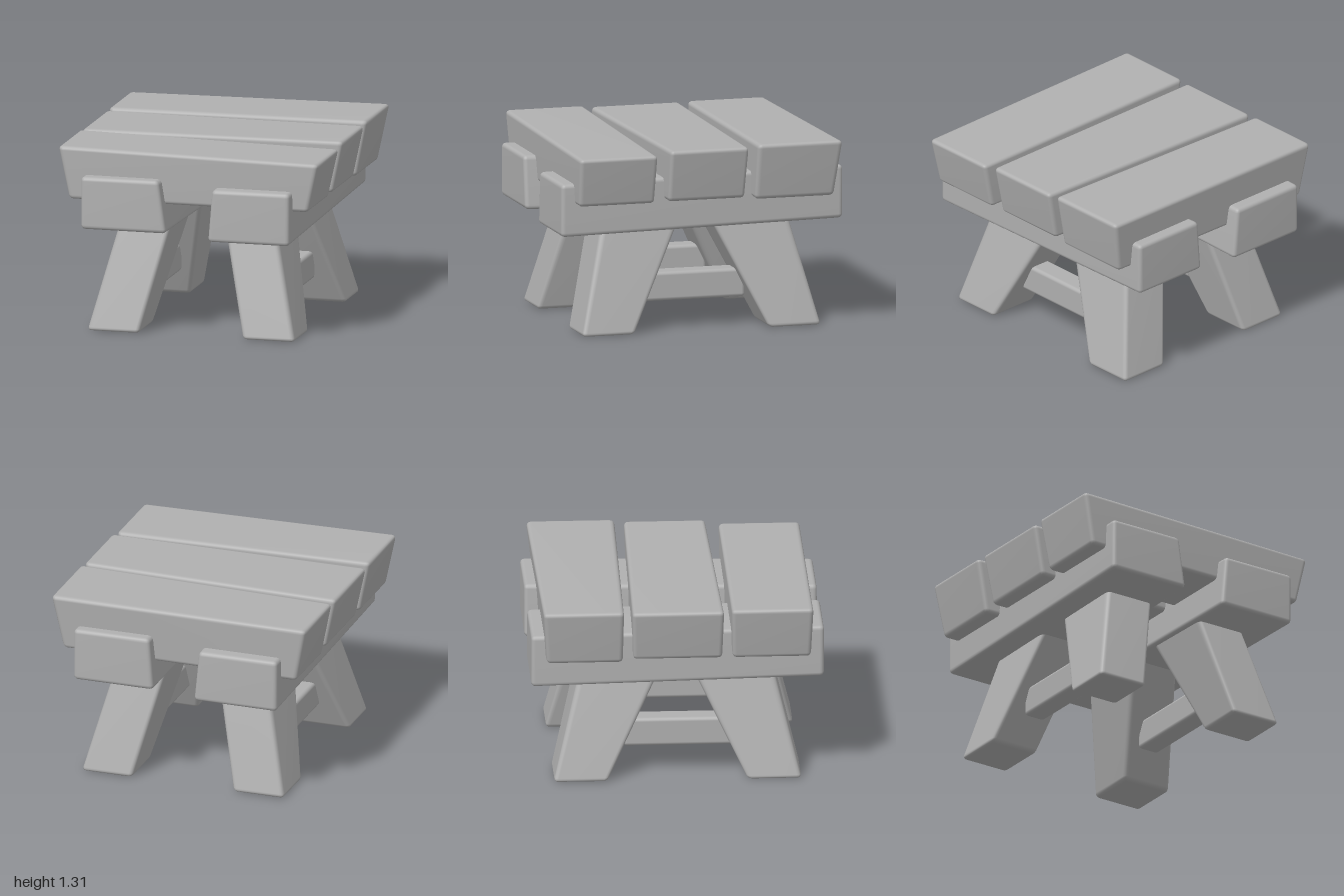
import * as THREE from 'three';
import { RoundedBoxGeometry } from 'three/addons/geometries/RoundedBoxGeometry.js';
import { mergeVertices } from 'three/addons/utils/BufferGeometryUtils.js';

const wood = new THREE.MeshStandardMaterial({ color: 0xb0b0b0 });
wood.name = 'grey wood';

// Soft-edged block stretched onto 8 corners, ordered by x, then y, then z (low before high)
function block(name, corners, radius = 0.03) {
  const c = corners.map((p) => new THREE.Vector3(...p));
  const size = new THREE.Vector3(c[0].distanceTo(c[4]), c[0].distanceTo(c[2]), c[0].distanceTo(c[1]));
  let geo = new RoundedBoxGeometry(size.x, size.y, size.z, 2, radius);
  geo.deleteAttribute('uv');
  geo.deleteAttribute('normal');
  geo = mergeVertices(geo, 1e-5);
  const pos = geo.attributes.position;
  const out = new THREE.Vector3();
  for (let i = 0; i < pos.count; i++) {
    const t = [pos.getX(i) / size.x + 0.5, pos.getY(i) / size.y + 0.5, pos.getZ(i) / size.z + 0.5];
    out.set(0, 0, 0);
    c.forEach((p, k) => {
      const w = (k & 4 ? t[0] : 1 - t[0]) * (k & 2 ? t[1] : 1 - t[1]) * (k & 1 ? t[2] : 1 - t[2]);
      out.addScaledVector(p, w);
    });
    pos.setXYZ(i, out.x, out.y, out.z);
  }
  geo.computeVertexNormals();
  const mesh = new THREE.Mesh(geo, wood);
  mesh.name = name;
  return mesh;
}

// Plank along x; each end is [bottom y, top y, bottom z low, bottom z high, top z low, top z high]
function plank(name, right, left) {
  const end = ([y0, y1, a, b, c, d], s) => [
    [s * 0.845, y0, a], [s * 0.845, y0, b], [s * 0.92, y1, c], [s * 0.92, y1, d],
  ];
  return block(name, [...end(right, -1), ...end(left, 1)]);
}

// Beam along z; each end is [bottom y, top y, inner bottom x, inner top x]
function beam(name, s, back, front) {
  const outer = s * 0.737;
  const [b0, b1, bi, bt] = back;
  const [f0, f1, fi, ft] = front;
  const out = [[outer, b0, -1], [outer, f0, 1], [outer, b1, -1], [outer, f1, 1]];
  const inn = [[s * bi, b0, -1], [s * fi, f0, 1], [s * bt, b1, -1], [s * ft, f1, 1]];
  return block(name, s < 0 ? [...out, ...inn] : [...inn, ...out]);
}

// Splayed leg, wider at the top
function leg(name, sx, sz) {
  const foot = 0.005, top = 0.8;
  const xs = (a, b) => [sx * a, sx * b].sort((p, q) => p - q);
  const zs = (a, b) => [sz * a, sz * b].sort((p, q) => p - q);
  const [bx0, bx1] = xs(0.367, 0.735), [tx0, tx1] = xs(0.175, 0.54);
  const [bz0, bz1] = zs(0.48, 0.848), [tz0, tz1] = zs(0.085, 0.65);
  return block(name, [
    [bx0, foot, bz0], [bx0, foot, bz1], [tx0, top, tz0], [tx0, top, tz1],
    [bx1, foot, bz0], [bx1, foot, bz1], [tx1, top, tz0], [tx1, top, tz1],
  ]);
}

export function createModel() {
  const table = new THREE.Group();
  table.name = 'table';

  // Top planks
  table.add(
    plank('frontPlank', [0.93, 1.3, 0.37, 0.905, 0.36, 0.92], [0.93, 1.27, 0.37, 0.905, 0.365, 0.92]),
    plank('middlePlank', [0.93, 1.29, -0.31, 0.3, -0.32, 0.31], [0.935, 1.297, -0.27, 0.27, -0.282, 0.275]),
    plank('backPlank', [0.91, 1.295, -0.9, -0.38, -0.925, -0.375], [0.92, 1.312, -0.905, -0.345, -0.95, -0.345]),
  );

  // Cross beams under the planks
  table.add(
    beam('rightBeam', -1, [0.705, 1.07, 0.135, 0.17], [0.745, 1.11, 0.135, 0.19]),
    beam('leftBeam', 1, [0.74, 1.11, 0.16, 0.19], [0.705, 1.07, 0.16, 0.19]),
  );

  // Legs, with a stretcher joining each side pair
  for (const sx of [-1, 1]) {
    const side = sx < 0 ? 'Right' : 'Left';
    table.add(leg('front' + side + 'Leg', sx, 1), leg('back' + side + 'Leg', sx, -1));
    const stretcher = new THREE.Mesh(new RoundedBoxGeometry(0.16, 0.2, 0.76, 2, 0.025), wood);
    stretcher.position.set(sx * 0.47, 0.295, 0.02);
    stretcher.name = 'stretcher' + side;
    table.add(stretcher);
  }
  return table;
}
